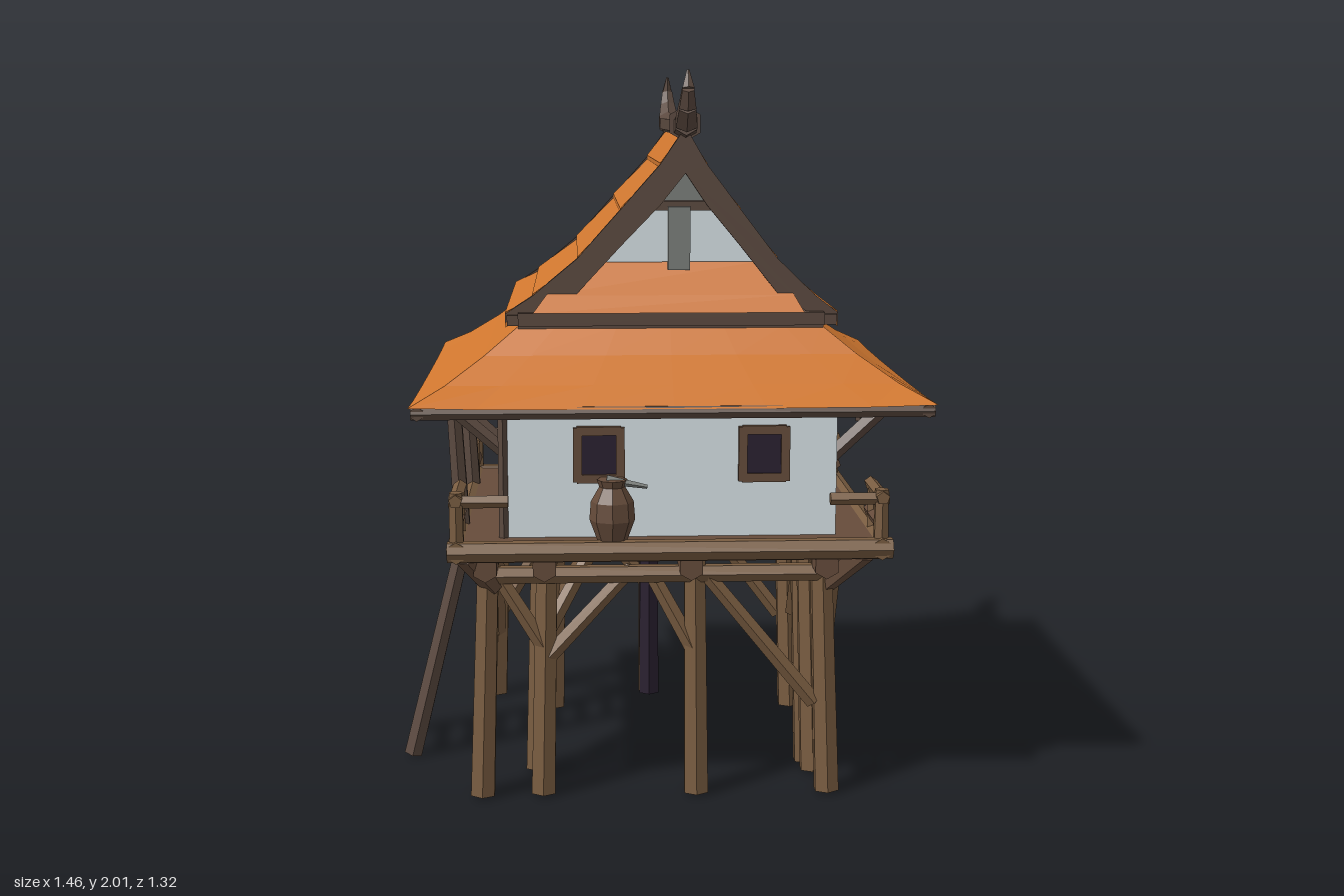
import * as THREE from 'three';

const mat = (name, color) => Object.assign(new THREE.MeshStandardMaterial({ color }), { name });

export function createModel() {
  const orange = mat('orange tiles', 0xd0772f), plaster = mat('pale plaster', 0xdde8ec);
  const wood = mat('wood', 0x7a5d41), dark = mat('dark wood', 0x5c4a40);
  const deckWood = mat('deck wood', 0x664c3b), shade = mat('dark opening', 0x2a2030);
  const grey = mat('weathered grey', 0x7c807c);

  const root = new THREE.Group();
  root.name = 'stiltHouse';
  const V = (x, y, z) => new THREE.Vector3(x, y, z);

  // Faceted mesh
  function add(name, geo, material) {
    const g = geo.index ? geo.toNonIndexed() : geo;
    g.computeVertexNormals();
    const m = new THREE.Mesh(g, material);
    m.name = name;
    root.add(m);
    return m;
  }
  // Box given by its limits
  function box(name, x0, x1, y0, y1, z0, z1, material) {
    add(name, new THREE.BoxGeometry(x1 - x0, y1 - y0, z1 - z0), material)
      .position.set((x0 + x1) / 2, (y0 + y1) / 2, (z0 + z1) / 2);
  }
  // Tapered log from a to b
  function log(name, a, b, r0, r1, material, sides = 6) {
    const A = V(...a), B = V(...b), d = B.clone().sub(A);
    const m = add(name, new THREE.CylinderGeometry(r1, r0, d.length(), sides), material);
    m.position.copy(A).add(B).multiplyScalar(0.5);
    m.quaternion.setFromUnitVectors(V(0, 1, 0), d.normalize());
  }
  // Surface through rows of points, each row from left to right, lowest row first
  function surface(name, rows, material) {
    const p = [];
    for (let j = 0; j < rows.length - 1; j++)
      for (let i = 0; i < rows[j].length - 1; i++) {
        const a = rows[j][i], b = rows[j][i + 1], c = rows[j + 1][i + 1], d = rows[j + 1][i];
        p.push(...a, ...b, ...c, ...a, ...c, ...d);
      }
    const g = new THREE.BufferGeometry();
    g.setAttribute('position', new THREE.Float32BufferAttribute(p, 3));
    add(name, g, material);
  }
  function extrude(name, pts, z0, z1, material) {
    const g = new THREE.ExtrudeGeometry(new THREE.Shape(pts), { depth: z1 - z0, bevelEnabled: false });
    add(name, g.translate(0, 0, z0), material);
  }

  // Stilts: x, z of each foot
  const feet = [[-0.48, 0.44], [0.49, 0.44], [-0.48, -0.44], [0.49, -0.44], [-0.31, 0.43], [0.12, 0.44],
    [0.47, 0.28], [0.46, 0.21], [0.47, -0.29], [-0.29, -0.3], [-0.33, 0.24]];
  for (const [x, z] of feet)
    log('stilt', [x, 0, z], [x * 0.95, 0.68, z * 0.97], 0.038, 0.033, wood);
  // Back middle stilt, dark towards the inside
  log('backStilt', [0.02, 0, -0.446], [0.02, 0.7, -0.436], 0.036, 0.033, wood);
  log('backStiltInside', [0.022, 0, -0.425], [0.022, 0.7, -0.415], 0.036, 0.033, shade);

  // Diagonal braces between the stilts
  const braces = [
    [[0.45, 0.26, 0.44], [0.14, 0.64, 0.44]], [[-0.29, 0.4, 0.43], [-0.06, 0.65, 0.43]],
    [[-0.3, 0.42, 0.43], [-0.44, 0.65, 0.43]], [[0.12, 0.4, 0.44], [0.0, 0.62, 0.42]],
    [[0.49, 0.12, 0.43], [0.5, 0.66, 0.1]], [[0.49, 0.1, 0.2], [0.5, 0.64, 0.43]],
    [[0.49, 0.1, -0.43], [0.5, 0.66, -0.1]], [[0.49, 0.32, -0.25], [0.5, 0.64, -0.43]],
    [[0.47, 0.36, 0.16], [0.46, 0.64, 0.0]], [[0.47, 0.33, -0.22], [0.47, 0.64, -0.02]],
    [[0.45, 0.26, -0.44], [0.16, 0.64, -0.44]],
    [[0.02, 0.36, -0.44], [-0.2, 0.65, -0.44]], [[-0.46, 0.28, -0.44], [-0.24, 0.65, -0.44]],
    [[-0.47, 0.2, 0.43], [-0.46, 0.65, 0.18]], [[-0.47, 0.2, -0.43], [-0.46, 0.65, -0.18]],
    [[-0.33, 0.35, 0.24], [-0.15, 0.65, 0.1]], [[-0.29, 0.35, -0.3], [-0.1, 0.65, -0.2]]];
  for (const [a, b] of braces) log('brace', a, b, 0.024, 0.021, wood, 5);

  // Floor beams and deck
  for (const z of [-0.44, 0, 0.44]) log('crossBeam', [-0.49, 0.635, z], [0.53, 0.635, z], 0.026, 0.026, wood);
  for (const x of [-0.46, -0.3, 0.1, 0.47]) log('longBeam', [x, 0.67, -0.5], [x, 0.67, 0.52], 0.036, 0.036, deckWood);
  box('deck', -0.54, 0.62, 0.695, 0.745, -0.52, 0.54, deckWood);
  box('deckUnderside', -0.43, 0.44, 0.689, 0.696, -0.42, 0.42, shade);
  for (const z of [-0.51, 0.535]) log('deckEdge', [-0.56, 0.725, z], [0.645, 0.725, z], 0.03, 0.03, wood);
  for (const x of [-0.535, 0.615]) log('deckEdge', [x, 0.725, -0.53], [x, 0.725, 0.555], 0.03, 0.03, wood);
  // Knee braces below the deck corners
  for (const x of [-1, 1]) for (const z of [-1, 1])
    log('deckKnee', [0.02 + x * 0.46, 0.6, z * 0.43], [0.03 + x * 0.54, 0.71, z * 0.51], 0.03, 0.036, deckWood, 5);

  // Corner railings
  for (const [x, sx] of [[-0.535, 1], [0.615, -1]])
    for (const [z, sz] of [[-0.51, 1], [0.52, -1]]) {
      log('railPost', [x, 0.73, z], [x, 0.885, z], 0.022, 0.02, wood);
      log('railPost', [x, 0.73, z + sz * 0.14], [x, 0.87, z + sz * 0.14], 0.016, 0.016, wood, 5);
      log('rail', [x, 0.865, z - sz * 0.03], [x, 0.865, z + sz * 0.18], 0.019, 0.019, wood, 5);
      log('rail', [x - sx * 0.02, 0.86, z], [x + sx * 0.14, 0.86, z], 0.018, 0.018, wood, 5);
      log('lowRail', [x, 0.785, z], [x, 0.785, z + sz * 0.2], 0.016, 0.016, deckWood, 5);
    }

  // Ladder
  for (const z of [-0.115, 0.115]) log('ladderRail', [-0.705, 0, z], [-0.52, 0.74, z * 0.88], 0.027, 0.023, dark, 5);
  for (let i = 0; i < 7; i++) {
    const y = 0.07 + i * 0.092, x = -0.7 + y * 0.243;
    log('ladderRung', [x, y, -0.11], [x, y, 0.11], 0.015, 0.015, wood, 5);
  }

  // House body
  box('walls', -0.41, 0.5, 0.745, 1.125, -0.44, 0.46, plaster);
  for (const z of [-0.44, 0.455]) log('cornerPost', [-0.41, 0.745, z], [-0.41, 1.12, z], 0.014, 0.014, dark, 5);
  // Front windows with frames
  for (const x of [-0.15, 0.3]) {
    box('windowPane', x - 0.05, x + 0.05, 0.91, 1.04, 0.458, 0.467, shade);
    for (const s of [-1, 1]) {
      box('windowFrame', x + s * 0.058 - 0.012, x + s * 0.058 + 0.012, 0.9, 1.05, 0.455, 0.475, deckWood);
      box('windowFrame', x - 0.06, x + 0.06, 0.975 + s * 0.066 - 0.012, 0.975 + s * 0.066 + 0.012, 0.455, 0.475, deckWood);
    }
  }
  // Doorway above the ladder
  box('doorway', -0.417, -0.408, 0.75, 1.06, -0.15, 0.17, shade);
  for (const z of [-0.16, 0.01, 0.18]) box('doorFrame', -0.435, -0.405, 0.75, 1.08, z - 0.018, z + 0.018, dark);
  box('doorLintel', -0.435, -0.405, 1.05, 1.085, -0.18, 0.2, dark);
  // Porch posts and eave struts
  for (const z of [-0.26, 0.28]) {
    log('porchPost', [-0.535, 0.74, z], [-0.555, 1.12, z], 0.025, 0.022, dark);
    log('porchBrace', [-0.42, 0.98, z], [-0.56, 1.11, z], 0.018, 0.018, dark, 5);
  }
  for (const z of [-0.42, 0, 0.42]) log('eaveStrut', [0.49, 0.96, z], [0.65, 1.11, z], 0.022, 0.022, dark, 5);
  for (const z of [-0.42, 0.42]) log('eaveStrut', [-0.41, 0.98, z], [-0.56, 1.11, z], 0.02, 0.02, dark, 5);
  log('eaveStrut', [0.045, 0.97, -0.44], [0.045, 1.11, -0.58], 0.02, 0.02, dark, 5);
  log('hangingPeg', [0.635, 0.98, 0], [0.645, 1.11, 0], 0.012, 0.022, dark, 5);
  log('wallPole', [0.505, 0.78, -0.02], [0.505, 0.98, -0.02], 0.007, 0.007, grey, 5);

  // Water jar with ladle
  const jar = [[0, 0], [0.04, 0], [0.062, 0.06], [0.058, 0.11], [0.035, 0.15], [0.042, 0.17], [0, 0.17]];
  add('waterJar', new THREE.LatheGeometry(jar.map(p => new THREE.Vector2(...p)), 8), deckWood).position.set(-0.115, 0.745, 0.505);
  log('ladle', [-0.13, 0.915, 0.505], [-0.02, 0.895, 0.51], 0.014, 0.006, grey, 5);

  // Lower roof: rings of half width, half depth, height, with slightly lifted corners
  const cx = 0.045;
  const rings = [[0.69, 0.66, 1.13], [0.6, 0.575, 1.183], [0.5, 0.488, 1.25], [0.41, 0.43, 1.322]];
  const sides = [(u, a, b) => [cx + u * a, b], (u, a, b) => [cx + a, -u * b],
    (u, a, b) => [cx - u * a, -b], (u, a, b) => [cx - a, u * b]];
  sides.forEach((at, k) => {
    const rows = rings.map(([a, b, y], j) => [-1, -0.75, -0.35, 0, 0.35, 0.75, 1].map(u => {
      const f = j ? 0 : 1, pull = f * 0.015 * (1 - u * u) * (k % 2 ? 0 : 1);
      const [x, z] = at(u, a, b - pull);
      return [x, y + f * 0.008 * u ** 4, z];
    }));
    surface('lowerRoof', rows, orange);
  });
  box('lowerRoofUnderside', cx - 0.67, cx + 0.67, 1.115, 1.128, -0.63, 0.63, shade);
  for (const s of [-1, 1]) {
    log('eaveBeam', [cx - 0.685, 1.12, s * 0.63], [cx + 0.685, 1.12, s * 0.63], 0.019, 0.019, dark);
    log('eaveBeam', [cx + s * 0.668, 1.12, -0.645], [cx + s * 0.668, 1.12, 0.645], 0.019, 0.019, dark);
  }

  // Upper roof: concave slope as distance from ridge (0 to 1) and height
  const rx = 0.085, slope = [[1, 1.348], [0.85, 1.395], [0.6, 1.495], [0.36, 1.625], [0.14, 1.745], [0, 1.845]];
  const left = slope.map(([s, y]) => [rx - s * 0.485, y]);
  const right = slope.map(([s, y]) => [rx + s * 0.415, y]).reverse();
  const P = (p, dy) => new THREE.Vector2(p[0], p[1] + dy);
  const line = dy => [...left, ...right.slice(1)].map(p => P(p, dy));
  const stepped = [];
  for (let i = 0; i < 5; i++) stepped.push(P(left[i], 0.012), P(left[i + 1], 0));
  for (let i = 0; i < 5; i++) stepped.push(P(right[i], i ? 0 : 0.001), P(right[i + 1], 0.012));
  extrude('upperRoof', [...stepped, ...line(-0.03).reverse()], -0.435, 0.425, orange);
  box('roofSill', -0.365, 0.46, 1.305, 1.36, -0.435, 0.435, dark);
  for (const x of [-0.375, 0.475]) box('eaveBoard', x - 0.02, x + 0.02, 1.325, 1.353, -0.45, 0.445, dark);

  // Gable ends
  const boardDepth = [-0.015, -0.05, -0.085, -0.09, -0.1, -0.115];
  const boardInner = [...left.map((p, i) => P(p, boardDepth[i])),
    ...right.slice(1).map((p, i) => P(p, boardDepth[4 - i]))];
  for (const s of [-1, 1]) {
    const plate = (name, pts, z, t, m) => extrude(name, pts, s * z - t / 2, s * z + t / 2, m);
    plate('bargeboard', [...line(0.008), ...boardInner.reverse()], s > 0 ? 0.42 : 0.43, 0.024, dark);
    boardInner.reverse();
    plate('gableWall', line(-0.02), 0.36, 0.02, plaster);
    plate('gablePeak', [[-0.02, 1.655], [0.18, 1.655], [rx, 1.8]].map(p => P(p, 0)), 0.374, 0.008, grey);
    box('gableTie', -0.03, 0.19, 1.63, 1.655, s * 0.385 - 0.015, s * 0.385 + 0.015, dark);
    box('gablePost', 0.04, 0.1, 1.47, 1.64, s * 0.385 - 0.02, s * 0.385 + 0.02, grey);
    const rows = [[[-0.325, 1.36, s * 0.465], [0.405, 1.36, s * 0.465]],
      [[-0.29, 1.405, s * 0.435], [0.38, 1.405, s * 0.435]], [[-0.19, 1.49, s * 0.375], [0.29, 1.49, s * 0.375]]];
    surface('gableSkirt', s > 0 ? rows : rows.map(r => r.reverse()), orange);
    box('gableSkirtSill', -0.365, 0.46, 1.325, 1.36, s * 0.44 - 0.02, s * 0.44 + 0.02, dark);
    // Ridge horn, a chain of tapering pieces
    const horn = [[0.4, 1.853, 0.034], [0.46, 1.862, 0.033], [0.505, 1.905, 0.026], [0.53, 1.95, 0.018], [0.515, 1.998, 0.004]];
    for (let i = 0; i < 4; i++) {
      const [z, y, r] = horn[i], [z2, y2, r2] = horn[i + 1];
      log('ridgeHorn', [rx, y, s * z], [rx, y2, s * z2], r, r2, dark);
    }
  }
  log('ridgeBeam', [rx, 1.855, -0.44], [rx, 1.855, 0.42], 0.032, 0.032, dark);
  log('ridgeKnob', [rx, 1.86, 0.35], [rx, 1.86, 0.4], 0.03, 0.048, dark);
  return root;
}
